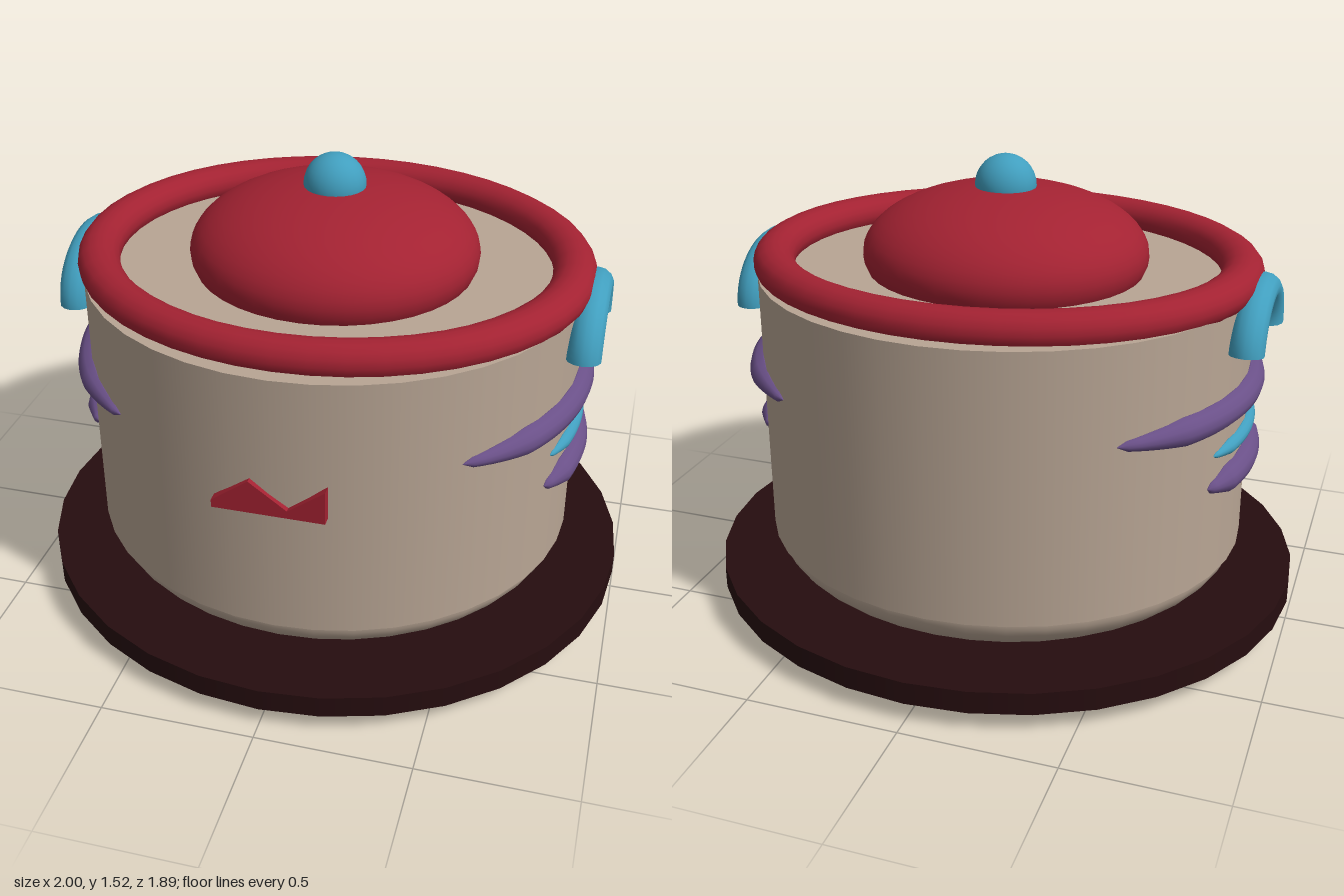
import * as THREE from 'three';

const DEPTH = 0.945; // the pot is slightly oval, narrower front to back

function material(name, color, side = THREE.FrontSide) {
  const m = new THREE.MeshStandardMaterial({ color, side });
  m.name = name;
  return m;
}

export function createModel() {
  const beige = material('beige', 0xb8a594);
  const red = material('red', 0xa32232);
  const teal = material('teal', 0x419fbf, THREE.DoubleSide);
  const purple = material('purple', 0x6a5088);
  const dark = material('darkBrown', 0x260d0f);

  const model = new THREE.Group();
  model.name = 'pot';

  function add(name, geometry, mat, y = 0) {
    const mesh = new THREE.Mesh(geometry, mat);
    mesh.name = name;
    mesh.position.y = y;
    model.add(mesh);
    return mesh;
  }

  // Base plate
  add('basePlate', new THREE.CylinderGeometry(1, 1, 0.075, 32), dark, 0.1025).scale.z = DEPTH;

  // Pot body and its rounded bottom
  add('body', new THREE.CylinderGeometry(0.815, 0.815, 0.89, 40), beige, 0.7).scale.z = DEPTH;
  const bowl = new THREE.SphereGeometry(1, 40, 16, 0, Math.PI * 2, Math.PI / 2, Math.PI / 2);
  add('roundedBottom', bowl, beige, 0.255).scale.set(0.803, 0.255, 0.803 * DEPTH);

  // Oval rim, domed lid and knob
  const rim = new THREE.TorusGeometry(0.67, 0.06, 16, 48).rotateX(Math.PI / 2);
  add('rim', rim, red, 1.175).scale.x = 1.152;
  add('lidDome', new THREE.SphereGeometry(1, 40, 24), red, 1.2).scale.set(0.47, 0.22, 0.47 * DEPTH);
  add('knob', new THREE.SphereGeometry(0.1, 24, 16), teal, 1.42).scale.z = DEPTH;

  // Tapered band that follows the side of the body, centred on +x or -x
  function band(side, halfWidth, radius) {
    const reach = Math.asin(halfWidth / (0.815 * DEPTH));
    const points = [];
    for (let i = 0; i <= 24; i++) {
      const a = (i / 12 - 1) * reach;
      points.push(new THREE.Vector3(side * 0.815 * Math.cos(a), 0, 0.815 * DEPTH * Math.sin(a)));
    }
    const curve = new THREE.CatmullRomCurve3(points);
    const rings = 40, sides = 12;
    const geometry = new THREE.TubeGeometry(curve, rings, radius, sides);
    const pos = geometry.attributes.position;
    const v = new THREE.Vector3();
    for (let i = 0; i <= rings; i++) {
      const t = Math.abs(i / rings * 2 - 1);
      const taper = t === 1 ? 0 : t < 0.65 ? 1 - 0.1 * t : 0.935 - (t - 0.65) * 1.95;
      const centre = curve.getPointAt(i / rings);
      for (let j = 0; j <= sides; j++) {
        const k = i * (sides + 1) + j;
        v.fromBufferAttribute(pos, k).sub(centre).multiplyScalar(taper).add(centre);
        pos.setXYZ(k, v.x, v.y, v.z);
      }
    }
    geometry.computeVertexNormals();
    return geometry;
  }

  for (const [label, side] of [['left', 1], ['right', -1]]) {
    // Open-ended arched handle
    const arch = new THREE.TorusGeometry(0.198, 0.055, 14, 28, 3);
    const handle = add(label + 'Handle', arch, teal, 0.985);
    handle.position.x = side * 0.834;
    handle.rotation.y = side * Math.PI / 2;
    handle.scale.y = 0.853;

    // Three side bands
    add(label + 'UpperBand', band(side, 0.58, 0.048), purple, 0.827);
    add(label + 'MiddleBand', band(side, 0.265, 0.026), teal, 0.69);
    add(label + 'LowerBand', band(side, 0.285, 0.048), purple, 0.584);
  }

  // Zigzag emblem on the front
  const outline = [[-0.177, 0.688], [0.174, 0.688], [0.174, 0.8], [0.058, 0.714], [-0.06, 0.8], [-0.177, 0.714]];
  const shape = new THREE.Shape(outline.map(([x, y]) => new THREE.Vector2(x, y)));
  const emblem = new THREE.ExtrudeGeometry(shape, { depth: 0.031, bevelEnabled: false });
  add('frontZigzag', emblem, red).position.z = 0.753;

  return model;
}
